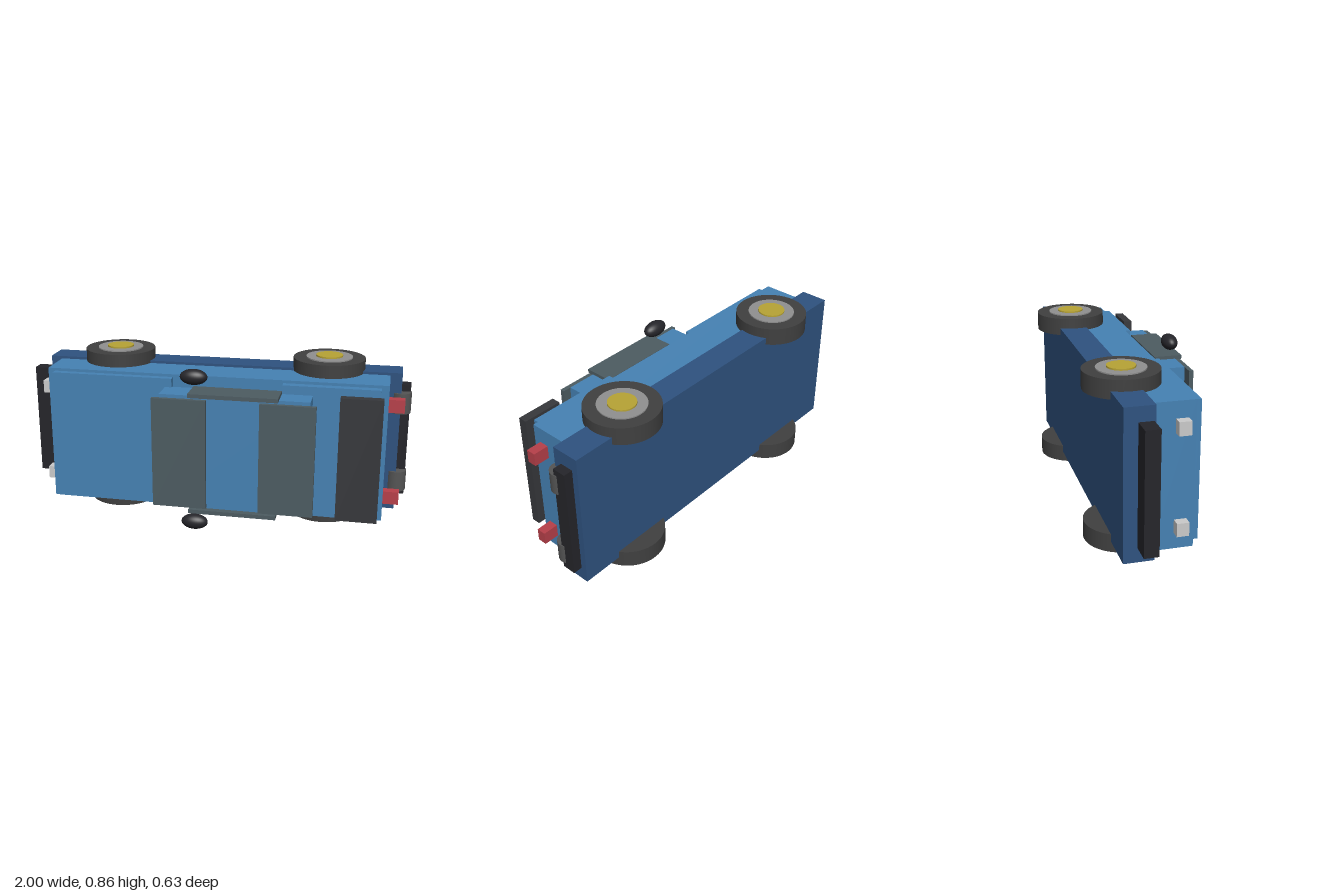
import * as THREE from 'three';

const mat = (color) => new THREE.MeshStandardMaterial({ color });

export function createModel() {
  const car = new THREE.Group();
  car.name = 'car';
  const MID = 0.434; // the car lies on its side: length x, width y, roof towards +z

  const paint = mat(0x4682b4), lowerPaint = mat(0x2f5380), glass = mat(0x4d5c62);
  const black = mat(0x25252a), trim = mat(0x37383c), rubber = mat(0x404040);
  const metal = mat(0x909090), gold = mat(0xb8a435), red = mat(0xb8404a);
  const lamp = mat(0xcccccc), pipe = mat(0x555555);

  const add = (name, geometry, material, x, y, z) => {
    const mesh = new THREE.Mesh(geometry, material);
    mesh.name = name;
    mesh.position.set(x, y, z);
    car.add(mesh);
    return mesh;
  };
  // Box given by its limits
  const box = (name, material, [x0, x1], [y0, y1], [z0, z1]) =>
    add(name, new THREE.BoxGeometry(x1 - x0, y1 - y0, z1 - z0), material,
      (x0 + x1) / 2, (y0 + y1) / 2, (z0 + z1) / 2);

  // Body
  box('lowerBody', lowerPaint, [-0.9, 0.945], [0.07, 0.799], [-0.222, -0.079]);
  box('upperBody', paint, [-0.842, 0.886], [0.083, 0.786], [-0.079, 0.12]);
  box('hood', paint, [-0.806, -0.182], [0.097, 0.772], [0.12, 0.155]);
  box('trunkLid', paint, [0.374, 0.849], [0.097, 0.772], [0.12, 0.161]);
  box('cabin', paint, [-0.215, 0.525], [0.141, 0.728], [0.143, 0.278]);

  // Glass
  box('windshield', glass, [-0.246, 0.024], [0.154, 0.715], [0.292, 0.314]);
  box('rearWindow', glass, [0.286, 0.556], [0.154, 0.715], [0.292, 0.314]);

  // Bumpers and spoiler
  box('frontBumper', black, [-1, -0.9], [0.141, 0.728], [-0.157, -0.087]);
  box('rearBumper', black, [0.945, 0.991], [0.141, 0.728], [-0.19, -0.12]);
  box('spoiler', trim, [0.661, 0.865], [0.121, 0.748], [0.204, 0.249]);

  // Parts mirrored across the width of the car
  for (const s of [-1, 1]) {
    const side = s < 0 ? 'lower' : 'upper';
    const span = (a, b) => (s < 0 ? [MID - b, MID - a] : [MID + a, MID + b]);

    box(side + 'SideWindow', glass, [-0.065, 0.374], span(0.291, 0.311), [0.167, 0.311]);
    box(side + 'Headlight', lamp, [-0.888, -0.842], span(0.207, 0.272), [0.027, 0.085]);
    box(side + 'TailLight', red, [0.886, 0.964], span(0.207, 0.273), [0.036, 0.084]);

    add(side + 'Exhaust', new THREE.CylinderGeometry(0.052, 0.052, 0.106, 32), pipe,
      0.945, MID + s * 0.209, -0.115);
    add(side + 'Mirror', new THREE.SphereGeometry(0.039, 32, 16), black,
      -0.046, MID + s * 0.381, 0.25).scale.x = 1.75;

    // Wheels: tyre, rim and cap stepping outwards
    for (const [end, x] of [['Front', -0.528], ['Rear', 0.576]]) {
      for (const [part, material, radius, inner, outer] of [
        ['Tyre', rubber, 0.182, 0.327, 0.418],
        ['Rim', metal, 0.118, 0.34, 0.424],
        ['Cap', gold, 0.068, 0.36, 0.432],
      ]) {
        add(side + end + part, new THREE.CylinderGeometry(radius, radius, outer - inner, 48),
          material, x, MID + s * (inner + outer) / 2, -0.132);
      }
    }
  }
  return car;
}
